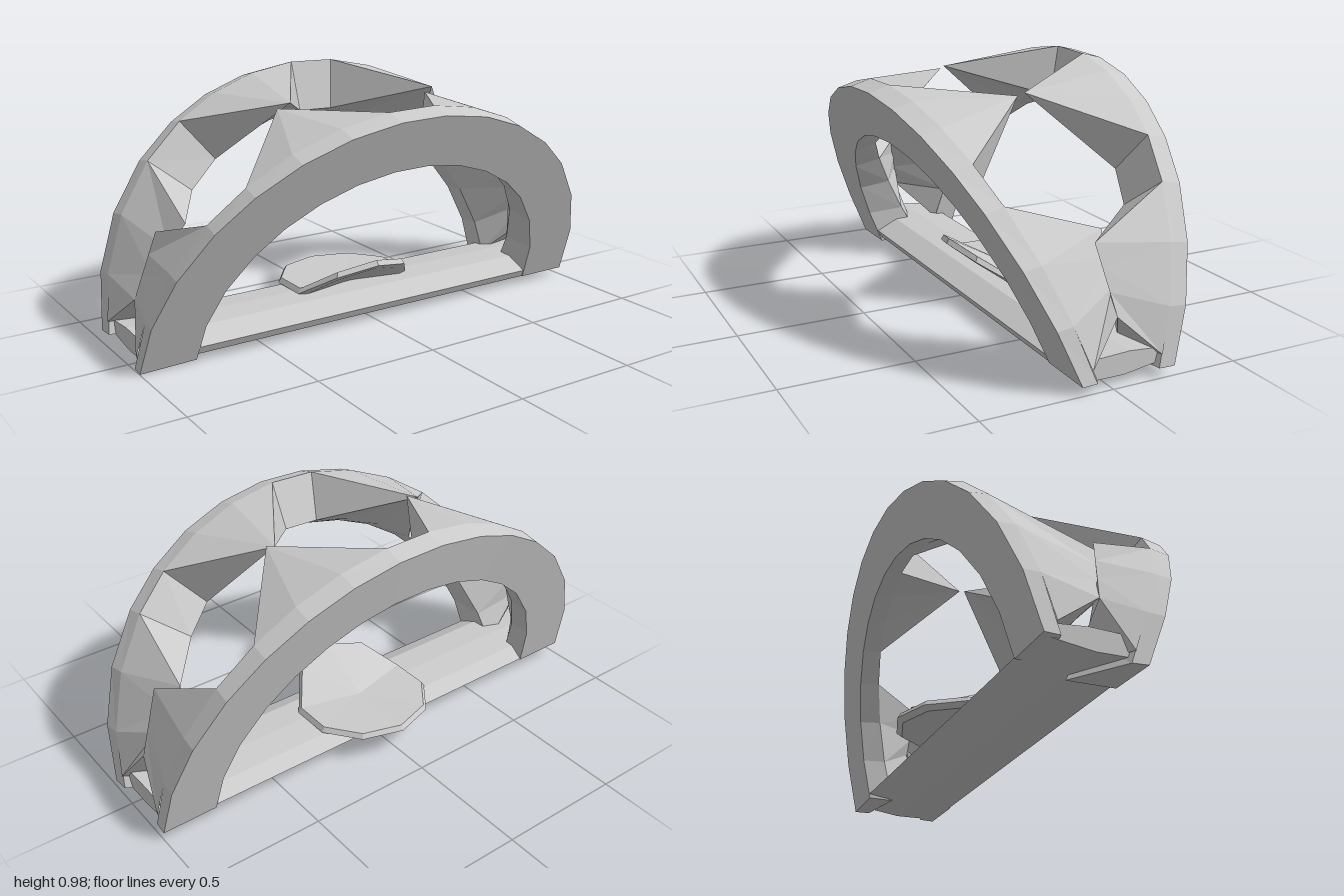
import * as THREE from 'three';

const material = new THREE.MeshStandardMaterial({ color: 0xcccccc, flatShading: true, side: THREE.DoubleSide });
const rad = Math.PI / 180;
const mix = (a, b, k) => a.map((v, i) => v + (b[i] - v) * k);

// Collects triangles and quads into one flat-shaded mesh
function facets(name, build) {
  const pos = [];
  const tri = (a, b, c) => pos.push(...a, ...b, ...c);
  const quad = (a, b, c, d) => { tri(a, b, c); tri(a, c, d); };
  build(tri, quad);
  const geo = new THREE.BufferGeometry();
  geo.setAttribute('position', new THREE.Float32BufferAttribute(pos, 3));
  geo.computeVertexNormals();
  const mesh = new THREE.Mesh(geo, material);
  mesh.name = name;
  return mesh;
}

// Splits an angle range (degrees) into n equal steps
const steps = (a, b, n) => Array.from({ length: n + 1 }, (_, i) => a + (b - a) * i / n);

// One leaning arch. rails: four corner curves [width, y0, height, z0, lean],
// ordered face outer, face inner, inward inner, inward outer.
function arch(side, { rails, spans, tips }) {
  const corner = (r, t) => {
    const [w, y0, h, z0, l] = rails[r], s = Math.sin(t * rad);
    return [w * Math.cos(t * rad), y0 + h * s, z0 + l * s];
  };
  const section = t => rails.map((_, r) => corner(r, t));
  const group = new THREE.Group();
  group.name = side + 'Arch';

  // Swept four-sided band
  group.add(facets(side + 'ArchBand', (tri, quad) => {
    const loops = spans.flatMap(([a, b]) => steps(a, b, 3)).map(section);
    for (let i = 0; i + 1 < loops.length; i++)
      for (let j = 0; j < 4; j++) {
        const k = (j + 1) % 4;
        quad(loops[i][j], loops[i + 1][j], loops[i + 1][k], loops[i][k]);
      }
    for (const l of [loops[0], loops[loops.length - 1]]) quad(...l);
  }));

  // Tapered webs reaching to a tip, or to a ridge at the two sides
  spans.forEach(([a, b], n) => {
    const [from, to] = tips[n];
    group.add(facets(side + 'ArchWeb' + (n + 1), (tri, quad) => {
      const ts = steps(a, b, 3).map((t, i) => {
        const lift = n === 0 && i === 0 ? 3 : n === 3 && i === 3 ? -3 : 0;
        return section(t + lift);
      });
      for (let i = 0; i < 3; i++) {
        const p = mix(from, to, i / 3), q = mix(from, to, (i + 1) / 3);
        for (const r of [2, 3]) quad(ts[i][r], ts[i + 1][r], q, p);
      }
      tri(ts[0][2], ts[0][3], from);
      tri(ts[3][2], ts[3][3], to);
    }));
  });
  return group;
}

// Base beam with a shallow faceted cross-section (z, y)
function baseBeam() {
  const shape = new THREE.Shape([
    [0.115, 0.03], [0.13, 0.06], [0.04, 0.105], [-0.08, 0.11],
    [-0.2, 0.1], [-0.25, 0.055], [-0.06, 0.028],
  ].map(([z, y]) => new THREE.Vector2(-z, y)));
  const geo = new THREE.ExtrudeGeometry(shape, { depth: 1.94, bevelEnabled: false });
  geo.translate(0, 0, -0.97);
  geo.rotateY(Math.PI / 2);
  const mesh = new THREE.Mesh(geo, material);
  mesh.name = 'baseBeam';
  return mesh;
}

// Ten-sided shallow dish with its front lip raised
function dish() {
  const lip = [0.25, 0.215, 0.13];
  const ring = (r, dy) => Array.from({ length: 10 }, (_, i) => {
    const t = i * 36 * rad, y = lip[Math.min(i, 10 - i)] ?? 0.13;
    return [r * 1.05 * Math.sin(t), y + dy, -0.12 + r * Math.cos(t)];
  });
  return facets('dish', (tri, quad) => {
    const top = ring(0.25, 0), edge = ring(0.262, -0.02), low = ring(0.24, -0.037);
    const centre = [0, 0.125, -0.1], under = [0, 0.09, -0.1];
    for (let i = 0; i < 10; i++) {
      const j = (i + 1) % 10;
      tri(top[i], top[j], centre);
      quad(edge[i], edge[j], top[j], top[i]);
      quad(low[i], low[j], edge[j], edge[i]);
      tri(low[j], low[i], under);
    }
  });
}

export function createModel() {
  const group = new THREE.Group();
  group.name = 'archedFrame';
  const rightLow = [0.95, 0.23, -0.04], leftLow = [-0.95, 0.23, -0.03];

  group.add(arch('front', {
    rails: [
      [1, 0.03, 0.85, 0.12, 0.36],
      [0.78, 0.03, 0.65, 0.12, 0.275],
      [0.78, 0.03, 0.69, -0.06, 0.39],
      [0.995, 0.03, 0.875, 0.06, 0.34],
    ],
    spans: [[0, 41], [52, 86.5], [97.5, 132], [143, 182]],
    tips: [
      [rightLow, [0.79, 0.49, -0.07]],
      [[0.32, 0.872, 0], [0.32, 0.872, 0]],
      [[-0.36, 0.872, -0.005], [-0.36, 0.872, -0.005]],
      [[-0.87, 0.48, 0], leftLow],
    ],
  }));

  group.add(arch('back', {
    rails: [
      [1, 0.05, 0.91, -0.25, -0.23],
      [0.78, 0.05, 0.71, -0.25, -0.18],
      [0.78, 0.05, 0.73, -0.15, -0.21],
      [0.995, 0.05, 0.93, -0.19, -0.21],
    ],
    spans: [[-1, 38], [49.5, 83], [94, 127], [139, 180]],
    tips: [
      [rightLow, [0.86, 0.47, 0]],
      [[0.36, 0.89, -0.005], [0.36, 0.89, -0.005]],
      [[-0.31, 0.89, 0.005], [-0.31, 0.89, 0.005]],
      [[-0.78, 0.51, 0.06], leftLow],
    ],
  }));

  group.add(baseBeam(), dish());
  return group;
}
